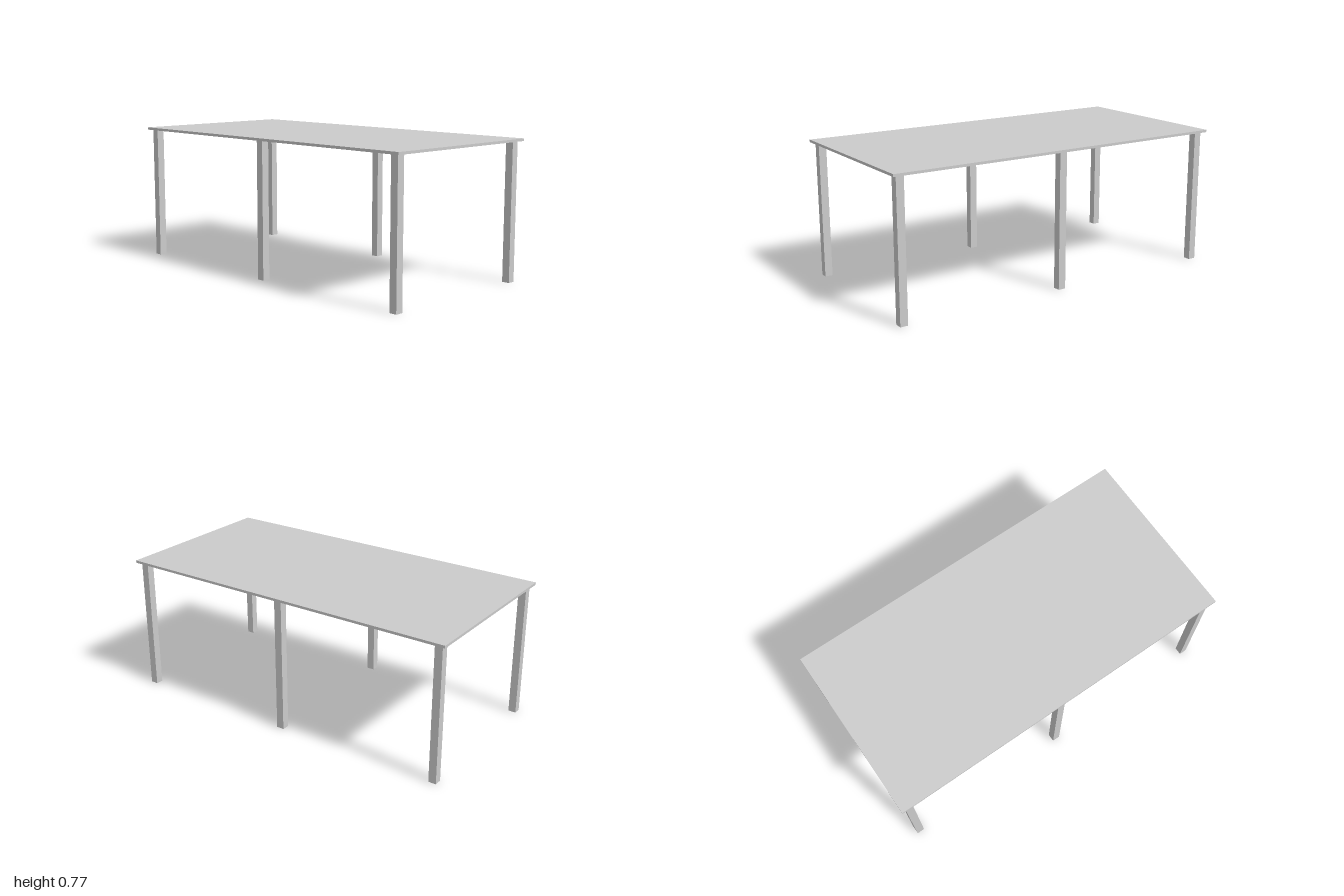
import * as THREE from 'three';

export function createModel() {
  const model = new THREE.Group();
  model.name = 'table';
  const material = new THREE.MeshStandardMaterial({ color: 0xcccccc });

  const width = 0.992, length = 2, height = 0.772, thickness = 0.014;
  const legSize = 0.043, legHeight = height - thickness;

  // Thin rectangular table top
  const top = new THREE.Mesh(new THREE.BoxGeometry(width, thickness, length), material);
  top.name = 'tableTop';
  top.position.y = height - thickness / 2;
  model.add(top);

  // Three pairs of square legs, slightly inset from the edges
  const legGeometry = new THREE.BoxGeometry(legSize, legHeight, legSize);
  for (const [row, z] of [['front', 0.955], ['middle', 0], ['back', -0.955]]) {
    for (const [side, x] of [['Left', 0.452], ['Right', -0.452]]) {
      const leg = new THREE.Mesh(legGeometry, material);
      leg.name = `${row}${side}Leg`;
      leg.position.set(x, legHeight / 2, z);
      model.add(leg);
    }
  }

  return model;
}
